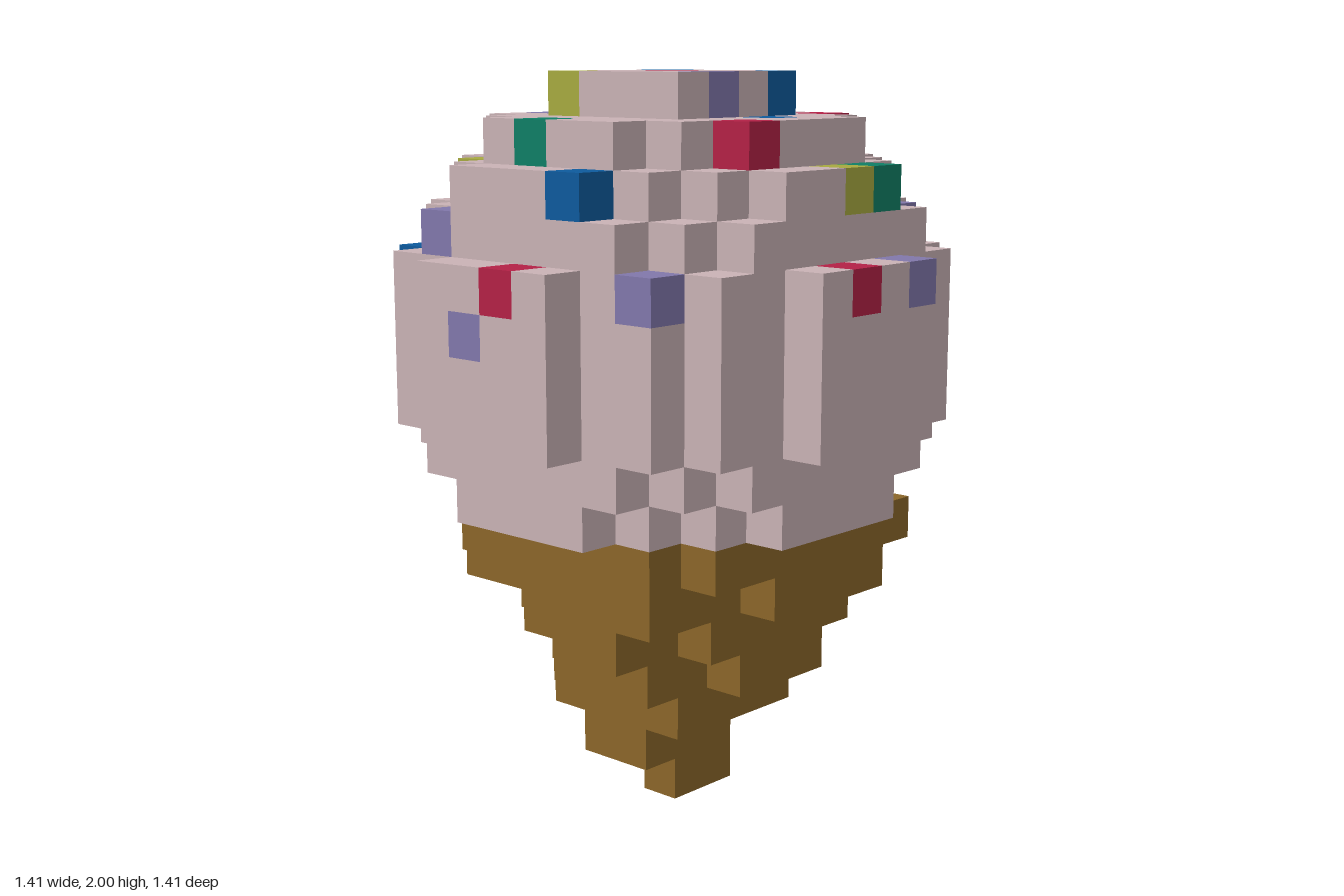
import * as THREE from 'three';

const U = 2 / 17; // edge of one block

const mat = (name, color) => {
  const m = new THREE.MeshStandardMaterial({ color });
  m.name = name;
  return m;
};

// Outward directions of a block and two edge vectors with a x b = n
const SIDES = [
  { n: [1, 0, 0], a: [0, 1, 0], b: [0, 0, 1] },
  { n: [-1, 0, 0], a: [0, 0, 1], b: [0, 1, 0] },
  { n: [0, 1, 0], a: [0, 0, 1], b: [1, 0, 0] },
  { n: [0, -1, 0], a: [1, 0, 0], b: [0, 0, 1] },
  { n: [0, 0, 1], a: [1, 0, 0], b: [0, 1, 0] },
  { n: [0, 0, -1], a: [0, 1, 0], b: [1, 0, 0] },
];

const key = (x, y, z) => `${x},${y},${z}`;

// Outer skin of all blocks that belong to one part
function skin(blocks, part) {
  const pos = [], nor = [], idx = [];
  for (const [k, owner] of blocks) {
    if (owner !== part) continue;
    const c = k.split(',').map(Number);
    for (const { n, a, b } of SIDES) {
      if (blocks.has(key(c[0] + n[0], c[1] + n[1], c[2] + n[2]))) continue;
      const start = pos.length / 3;
      for (const [s, t] of [[0, 0], [1, 0], [1, 1], [0, 1]]) {
        for (let i = 0; i < 3; i++) {
          pos.push(U * (c[i] + Math.max(n[i], 0) + s * a[i] + t * b[i]));
        }
        nor.push(...n);
      }
      idx.push(start, start + 1, start + 2, start, start + 2, start + 3);
    }
  }
  const g = new THREE.BufferGeometry();
  g.setAttribute('position', new THREE.Float32BufferAttribute(pos, 3));
  g.setAttribute('normal', new THREE.Float32BufferAttribute(nor, 3));
  g.setIndex(idx);
  return g;
}

// Wafer layers from the tip up: first z row, then the x span of each row
const WAFER = [
  { z: 0, rows: [[-1, 1]] },
  { z: -1, rows: [[-2, 2], [-2, 1]] },
  { z: -2, rows: [[-2, 2], [-2, 2], [-2, 2], [-2, 2]] },
  { z: -2, rows: [[-2, 3], [-3, 3], [-3, 2], [-3, 2], [-1, 2]] },
  { z: -3, rows: [[-2, 2], [-3, 3], [-3, 3], [-4, 3], [-4, 3], [-2, 3]] },
  { z: -4, rows: [[-3, 1], [-3, 4], [-3, 4], [-4, 4], [-4, 4], [-4, 3], [-4, 3], [-1, 3]] },
  { z: -4, rows: [[-3, 3], [-4, 4], [-4, 4], [-4, 4], [-4, 4], [-4, 4], [-4, 4], [-3, 4]] },
];

// Sprinkle blocks by colour
const SPRINKLES = {
  blueSprinkles: [[1, 16, 1], [-5, 14, 1], [-4, 12, -5], [3, 14, -3], [1, 16, -2], [0, 15, 2]],
  redSprinkles: [[-2, 15, 3], [3, 15, 1], [-1, 12, 5], [0, 14, -5], [3, 13, -4], [0, 16, -1],
    [-6, 12, 0], [-2, 13, -5]],
  greenSprinkles: [[1, 14, 4], [-4, 15, -1], [3, 15, -1], [-1, 10, -6]],
  purpleSprinkles: [[-1, 16, 1], [3, 13, 3], [-5, 12, 3], [1, 12, 5], [-1, 15, -4], [-5, 13, -3],
    [4, 14, -1], [3, 11, -5], [-6, 11, -1]],
  yellowSprinkles: [[0, 14, 4], [-3, 14, -4], [-2, 16, -2], [4, 13, 0], [0, 13, -5]],
};

export function createModel() {
  const blocks = new Map();

  // Stepped wafer cone
  WAFER.forEach(({ z, rows }, y) => rows.forEach(([x0, x1], i) => {
    for (let x = x0; x < x1; x++) blocks.set(key(x, y, z + i), 'waferCone');
  }));

  // Ball of ice cream, cut flat where it meets the cone
  for (let y = 7; y < 17; y++) {
    for (let x = -6; x < 6; x++) {
      for (let z = -6; z < 6; z++) {
        const d2 = (x + 0.5) ** 2 + (y - 10.5) ** 2 + (z + 0.5) ** 2;
        if (d2 <= 36) blocks.set(key(x, y, z), 'scoop');
      }
    }
  }

  // Sprinkles replace blocks of the scoop
  for (const [part, cells] of Object.entries(SPRINKLES)) {
    for (const c of cells) blocks.set(key(...c), part);
  }

  const materials = {
    waferCone: mat('wafer brown', 0x8b6629),
    scoop: mat('pale pink', 0xc9b2b5),
    blueSprinkles: mat('blue', 0x0e5a9d),
    redSprinkles: mat('red', 0xb32146),
    greenSprinkles: mat('green', 0x0f7e65),
    purpleSprinkles: mat('purple', 0x8177ab),
    yellowSprinkles: mat('yellow', 0xa7aa40),
  };

  const group = new THREE.Group();
  group.name = 'iceCream';
  for (const [part, material] of Object.entries(materials)) {
    const mesh = new THREE.Mesh(skin(blocks, part), material);
    mesh.name = part;
    group.add(mesh);
  }
  return group;
}
